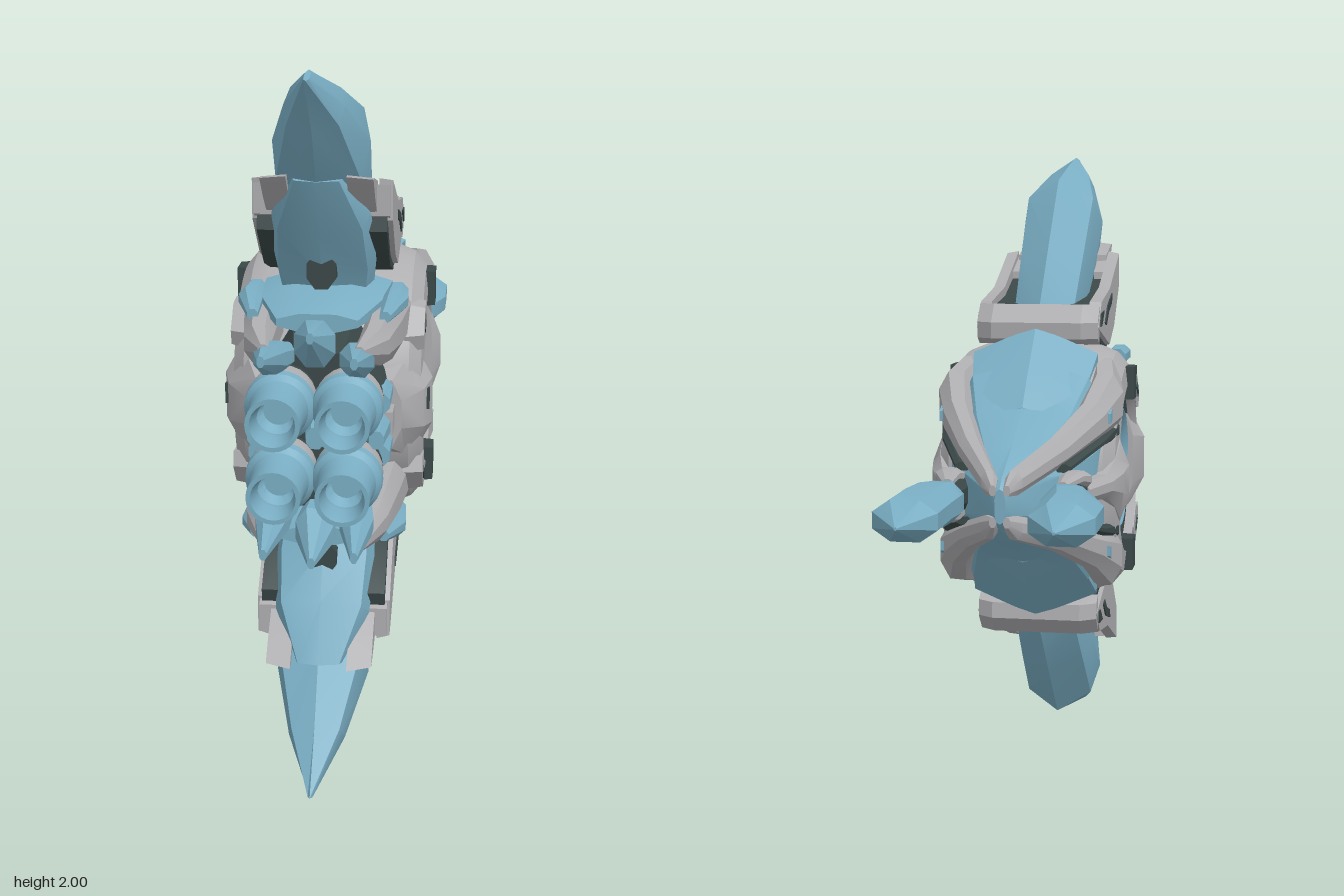
import * as THREE from 'three';
import { toCreasedNormals } from 'three/addons/utils/BufferGeometryUtils.js';

const mat = (name, color) => Object.assign(new THREE.MeshStandardMaterial({ color }), { name });

// Skin a row of equal-length cross-sections, cap both ends, and face it outwards.
function skin(sections, caps) {
  const n = sections[0].length, pos = [];
  const tri = (a, b, c) => pos.push(...a, ...b, ...c);
  for (let s = 0; s < sections.length - 1; s++) {
    for (let i = 0; i < n; i++) {
      const j = (i + 1) % n, A = sections[s], B = sections[s + 1];
      tri(A[i], A[j], B[j]);
      tri(A[i], B[j], B[i]);
    }
  }
  const first = sections[0], last = sections[sections.length - 1];
  if (!caps) caps = Array.from({ length: n - 2 }, (_, i) => [0, i + 1, i + 2]);
  for (const [a, b, c] of caps) {
    tri(first[a], first[c], first[b]);
    tri(last[a], last[b], last[c]);
  }
  let volume = 0;
  const v = i => new THREE.Vector3().fromArray(pos, i);
  for (let i = 0; i < pos.length; i += 9) volume += v(i).dot(v(i + 3).cross(v(i + 6)));
  if (volume < 0) {
    for (let i = 0; i < pos.length; i += 9) {
      for (let k = 0; k < 3; k++) [pos[i + k], pos[i + 3 + k]] = [pos[i + 3 + k], pos[i + k]];
    }
  }
  const g = new THREE.BufferGeometry();
  g.setAttribute('position', new THREE.Float32BufferAttribute(pos, 3));
  return toCreasedNormals(g, 0.45);
}

// Heights below are measured from the middle line y = 1; sx and sy mirror a part.
const place = (sx, sy) => ([x, v, z]) => [x * sx, 1 + v * sy, z];

// Faceted body along z; each station is [z, x, v, half width, half height].
const OCT = [[1, 0.4], [0.45, 1], [-0.45, 1], [-1, 0.4], [-1, -0.4], [-0.45, -1], [0.45, -1], [1, -0.4]];
const crystal = (stations, sx = 1, sy = 1) => skin(stations.map(([z, x, v, w, h]) =>
  OCT.map(([a, b]) => [x + a * w, v + b * h, z]).map(place(sx, sy))));

// Plate with a [z, v] outline, from x0 to x1, its outer face slightly shrunk.
function plate(outline, x0, x1, sx = 1, sy = 1, shrink = 0.92) {
  const pts = outline.map(p => new THREE.Vector2(...p));
  if (THREE.ShapeUtils.isClockWise(pts)) pts.reverse();
  const mid = pts.reduce((m, p) => m.add(p), new THREE.Vector2()).divideScalar(pts.length);
  const at = (x, k) => pts.map(p => place(sx, sy)([x, mid.y + (p.y - mid.y) * k, mid.x + (p.x - mid.x) * k]));
  return skin([at(x0, 1), at(x1, shrink)], THREE.ShapeUtils.triangulateShape(pts, []));
}

// Blade whose stations are [outer z, outer v, inner z, inner v, half width].
const BLADE = [[0, 0], [0.82, 0.22], [1, 0.52], [0.85, 0.86], [0, 1], [-0.85, 0.86], [-1, 0.52], [-0.82, 0.22]];
const blade = (stations, sy) => skin(stations.map(([z1, v1, z2, v2, w]) =>
  BLADE.map(([a, t]) => [a * w, v1 + (v2 - v1) * t, z1 + (z2 - z1) * t]).map(place(1, sy))));

const turned = (profile, sides) => toCreasedNormals(
  new THREE.LatheGeometry(profile.map(p => new THREE.Vector2(...p)), sides), 0.5);

export function createModel() {
  const model = new THREE.Group();
  model.name = 'ringShip';
  const blue = mat('pale blue', 0x7aaec4);
  const grey = mat('light grey', 0xaeadb0);
  const dark = mat('dark slate', 0x3b4848);
  const add = (name, geometry, material) => {
    const mesh = new THREE.Mesh(geometry, material);
    mesh.name = name;
    model.add(mesh);
  };
  const both = [1, -1];

  // Ring hub around an open hole running from side to side
  const hub = (name, profile, material) => add(name,
    turned([...profile, profile[0]], 48).rotateZ(-Math.PI / 2).translate(0, 1, 0.16), material);
  hub('armourRing', [[0.25, -0.25], [0.27, -0.275], [0.33, -0.268], [0.37, -0.235], [0.392, -0.18],
    [0.392, 0.18], [0.37, 0.235], [0.33, 0.268], [0.27, 0.275], [0.25, 0.25]], grey);
  hub('ringGap', [[0.19, -0.235], [0.255, -0.25], [0.255, 0.25], [0.19, 0.235]], dark);
  hub('innerRing', [[0.143, -0.2], [0.165, -0.24], [0.185, -0.255], [0.205, -0.245],
    [0.205, 0.245], [0.185, 0.255], [0.165, 0.24], [0.143, 0.2]], blue);

  // Nose wedge: [z, ridge height, shoulder half width, side half width]
  const nose = [[-0.1, 0.36, 0.18, 0.25], [-0.17, 0.3, 0.16, 0.24], [-0.24, 0.238, 0.14, 0.21],
    [-0.42, 0.148, 0.08, 0.14], [-0.6, 0.075, 0.025, 0.035], [-0.63, 0.05, 0.01, 0.015]];
  add('noseWedge', skin(nose.map(([z, h, c, s]) => [[0, h, z], [c, h * 0.87, z], [s, h * 0.4, z],
    [s, -h * 0.4, z], [c, -h * 0.87, z], [0, -h, z], [-c, -h * 0.87, z], [-s, -h * 0.4, z],
    [-s, h * 0.4, z], [-c, h * 0.87, z]].map(place(1, 1)))), blue);

  for (const sy of both) {
    // Canopy rising from the nose to the fin
    const canopy = [[-0.25, 0.235, 0.13], [-0.17, 0.312, 0.16], [-0.1, 0.37, 0.18], [0, 0.455, 0.195],
      [0.12, 0.44, 0.17], [0.3, 0.4, 0.15]];
    add('canopyRoot', skin(canopy.map(([z, h, c]) => [[c, h * 0.7, z], [c, h * 0.83, z], [0.06, h - 0.02, z],
      [0, h, z], [-0.06, h - 0.02, z], [-c, h * 0.83, z], [-c, h * 0.7, z]].map(place(1, sy)))), blue);

    // Large swept fin and the shorter one in front of it
    add('mainFin', blade([[-0.02, 0.37, 0.4, 0.34, 0.09], [0.06, 0.5, 0.5, 0.44, 0.115],
      [0.27, 0.71, 0.62, 0.55, 0.125], [0.48, 0.912, 0.73, 0.65, 0.133],
      [0.72, 0.965, 0.85, 0.83, 0.08], [0.9, 0.998, 0.985, 0.98, 0.008]], sy), blue);
    add('frontFin', blade([[0.3, 0.38, 0.56, 0.3, 0.13], [0.42, 0.52, 0.6, 0.4, 0.145],
      [0.56, 0.64, 0.68, 0.53, 0.135], [0.66, 0.7, 0.76, 0.69, 0.07]], sy), blue);
    add('frontVent', crystal([[0.5, 0, 0.42, 0.045, 0.055], [0.625, 0, 0.42, 0.04, 0.05]], 1, sy), dark);
    add('finDeck', crystal([[0.4, 0, 0.325, 0.18, 0.05], [0.58, 0, 0.325, 0.175, 0.045],
      [0.74, 0, 0.305, 0.11, 0.025]], 1, sy), blue);

    // Collar bridge behind the fin
    add('collarBridge', skin([-0.19, -0.14, 0.14, 0.19].map((x, i) => {
      const d = i % 3 ? 0 : 0.035;
      return [[x, 0.42, d], [x, 0.47, d - 0.005], [x, 0.525, 0.05 + d], [x, 0.5, 0.08], [x, 0.4, 0.07]]
        .map(place(1, sy));
    })), grey);

    // Centre petal above the engines
    add('centrePetal', crystal([[0.66, 0, 0.24, 0.04, 0.04], [0.8, 0, 0.265, 0.055, 0.065],
      [0.92, 0, 0.312, 0.01, 0.015]], 1, sy), blue);

    for (const sx of both) {
      // Collar cheeks, tips, blocks, dark lining and vents
      add('collarCheek', plate([[0.6, 0.675], [0.33, 0.565], [0.1, 0.53], [0.02, 0.45], [0.33, 0.375],
        [0.46, 0.43], [0.6, 0.56]], 0.155, 0.192, sx, sy, 0.96), grey);
      add('collarBlock', plate([[0.615, 0.66], [0.48, 0.61], [0.48, 0.52], [0.615, 0.575]],
        0.12, 0.185, sx, sy, 1), grey);
      add('collarTip', plate([[0.76, 0.705], [0.73, 0.705], [0.56, 0.665], [0.56, 0.54], [0.68, 0.63]],
        0.08, 0.15, sx, sy, 0.85), grey);
      add('collarLining', plate([[0.55, 0.61], [0.33, 0.535], [0.1, 0.51], [0.07, 0.43], [0.33, 0.36],
        [0.47, 0.405], [0.61, 0.53], [0.6, 0.57]], 0.08, 0.178, sx, sy, 1), dark);
      add('collarVent', plate([[0.37, 0.545], [0.25, 0.51], [0.19, 0.46], [0.22, 0.45], [0.28, 0.49], [0.36, 0.515]],
        0.189, 0.196, sx, sy, 1), dark);
      add('collarSlot', plate([[0.16, 0.5], [0.08, 0.495], [0.07, 0.455], [0.1, 0.455]],
        0.189, 0.196, sx, sy, 1), dark);

      // Grey rim along the canopy edge, with a dark seam below it
      add('noseRim', crystal([[0.04, 0.21, 0.27, 0.05, 0.09], [-0.1, 0.23, 0.235, 0.055, 0.09],
        [-0.22, 0.2, 0.19, 0.045, 0.058], [-0.4, 0.125, 0.124, 0.037, 0.04],
        [-0.6, 0.035, 0.063, 0.024, 0.034], [-0.63, 0.02, 0.045, 0.01, 0.015]], sx, sy), grey);
      add('rimSeam', crystal([[-0.1, 0.25, 0.155, 0.025, 0.03], [-0.22, 0.225, 0.135, 0.025, 0.014],
        [-0.42, 0.145, 0.08, 0.025, 0.012]], sx, sy), dark);
      add('rimSlot', plate([[-0.15, 0.24], [-0.21, 0.215], [-0.21, 0.185], [-0.15, 0.2]],
        0.252, 0.261, sx, sy, 1), blue);

      // Ring clamps, shoulder plates and vents
      add('ringClamp', plate([[0.115, 0.22], [0.205, 0.22], [0.205, 0.33], [0.115, 0.33]], 0.22, 0.295, sx, sy), dark);
      add('shoulderPlate', plate([[0.34, 0.3], [0.42, 0.29], [0.5, 0.2], [0.48, 0.14], [0.38, 0.15], [0.3, 0.23]],
        0.17, 0.276, sx, sy, 0.72), grey);
      add('shoulderVent', plate([[0.4, 0.25], [0.44, 0.215], [0.425, 0.2], [0.385, 0.235]],
        0.27, 0.279, sx, sy, 1), dark);

      // Engine shroud and petals
      add('engineShroud', crystal([[0.4, 0.18, 0.245, 0.055, 0.09], [0.58, 0.17, 0.245, 0.05, 0.08],
        [0.76, 0.155, 0.25, 0.04, 0.052], [0.89, 0.125, 0.27, 0.015, 0.015]], sx, sy), grey);
      add('sidePetal', crystal([[0.68, 0.1, 0.2, 0.04, 0.035], [0.83, 0.115, 0.232, 0.046, 0.048],
        [0.985, 0.12, 0.265, 0.01, 0.015]], sx, sy), blue);
      add('sidePod', crystal([[0.46, 0.2, 0.325, 0.03, 0.03], [0.58, 0.2, 0.33, 0.035, 0.03],
        [0.7, 0.18, 0.315, 0.015, 0.015]], sx, sy), blue);
      add('sidePiston', crystal([[0.57, 0.165, 0.075, 0.03, 0.03], [0.71, 0.165, 0.075, 0.03, 0.03]], sx, sy), blue);

      // Four hollow engine nozzles
      const nozzle = (name, profile, material) => add(name,
        turned(profile, 24).rotateX(Math.PI / 2).translate(0.09 * sx, 1 + 0.1 * sy, 0), material);
      nozzle('engineCollar', [[0, 0.68], [0.08, 0.68], [0.088, 0.72], [0.088, 0.755], [0, 0.755]], dark);
      nozzle('engineRing', [[0, 0.75], [0.09, 0.75], [0.093, 0.77], [0.09, 0.82], [0, 0.82]], grey);
      nozzle('engineNozzle', [[0.07, 0.81], [0.096, 0.82], [0.094, 0.85], [0.08, 0.868], [0.073, 0.92], [0.072, 1],
        [0.06, 1], [0.048, 0.94], [0.056, 0.9], [0.04, 0.87], [0, 0.87]], blue);
    }
  }

  // Engine block in front of the hub
  add('engineBlock', crystal([[0.46, 0, 0, 0.19, 0.25], [0.62, 0, 0, 0.175, 0.25], [0.73, 0, 0, 0.15, 0.22]]), dark);
  add('engineCore', crystal([[0.7, 0, 0, 0.04, 0.05], [0.8, 0, 0, 0.025, 0.03]]), blue);

  for (const sx of both) {
    add('sideThruster', crystal([[0.68, 0.155, 0, 0.04, 0.04], [0.8, 0.165, 0, 0.02, 0.025]], sx), blue);
    add('engineSideBlock', plate([[0.52, -0.035], [0.66, -0.035], [0.66, 0.035], [0.52, 0.035]], 0.12, 0.2, sx), grey);
    add('ringSidePlate', crystal([[0.34, 0.2, 0, 0.07, 0.2], [0.42, 0.2, 0, 0.1, 0.17],
      [0.5, 0.18, 0, 0.1, 0.14], [0.575, 0.17, 0, 0.05, 0.1]], sx), grey);
    add('sidePlateSlot', plate([[0.46, -0.01], [0.48, -0.01], [0.48, 0.05], [0.46, 0.05]], 0.286, 0.294, sx, 1, 1), dark);

    // Side bar, arm and claws holding the forked prong
    add('sideBar', crystal([[-0.04, 0.25, 0, 0.03, 0.16], [-0.1, 0.255, 0, 0.05, 0.12],
      [-0.16, 0.25, 0, 0.045, 0.075], [-0.22, 0.235, 0, 0.035, 0.035], [-0.37, 0.185, 0, 0.035, 0.03]], sx), grey);
    add('prongArm', crystal([[-0.34, 0.16, 0, 0.05, 0.06], [-0.42, 0.17, 0, 0.045, 0.06],
      [-0.58, 0.185, 0, 0.04, 0.04]], sx), dark);
    for (const sy of both) {
      add('prongClaw', crystal([[-0.35, 0.17, 0.02, 0.035, 0.02], [-0.41, 0.185, 0.05, 0.045, 0.025],
        [-0.47, 0.18, 0.06, 0.035, 0.018], [-0.55, 0.165, 0.05, 0.015, 0.012]], sx, sy), grey);
    }
    add('prong', crystal([[-0.5, 0.165, 0, 0.035, 0.025], [-0.56, 0.175, 0, 0.06, 0.058],
      [-0.62, 0.195, 0, 0.08, 0.062], [-0.7, 0.21, 0, 0.09, 0.057], [-0.88, 0.21, 0, 0.09, 0.057],
      [-1, 0.207, 0, 0.004, 0.004]], sx), blue);
  }
  return model;
}
